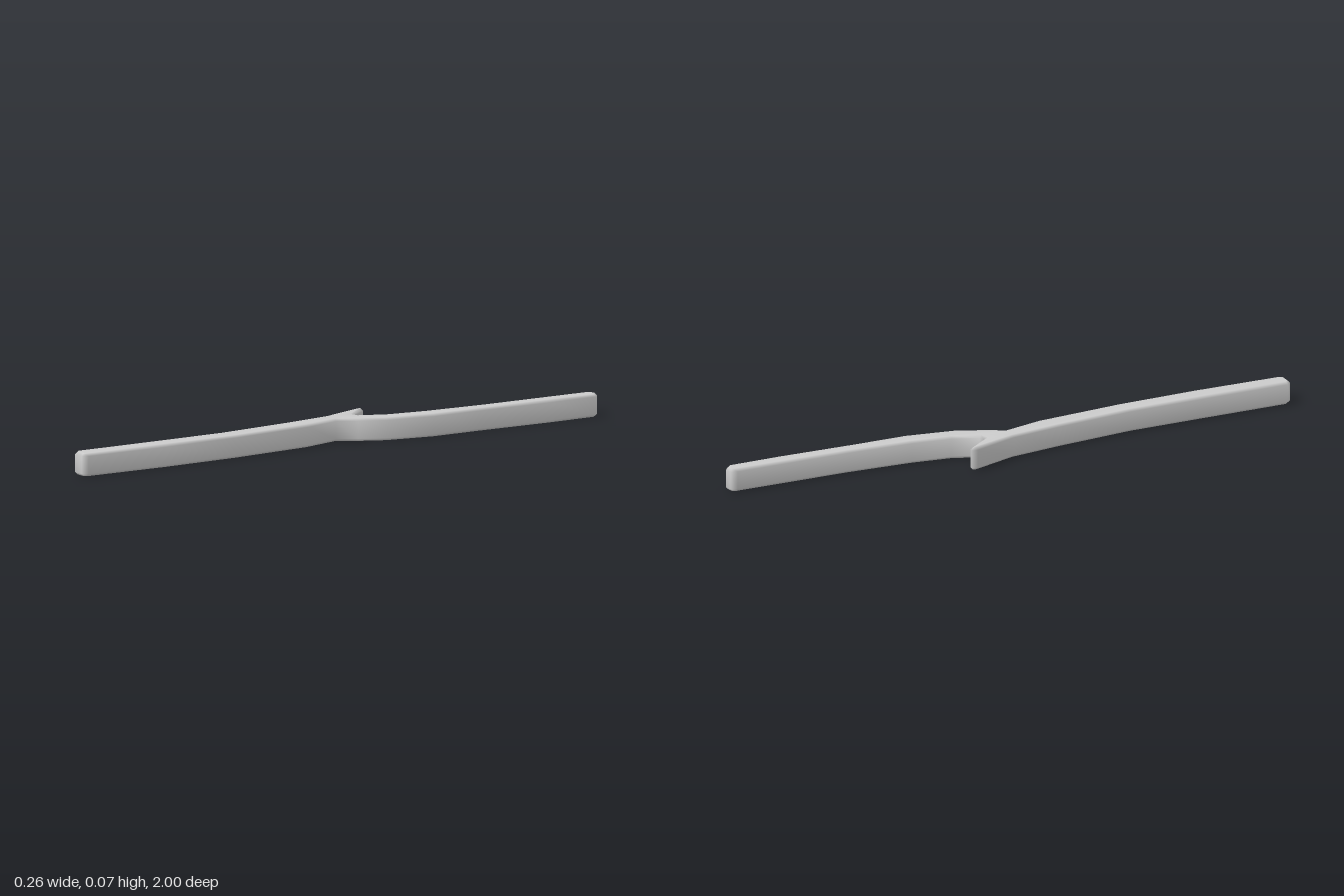
import * as THREE from 'three';
import { mergeVertices } from 'three/addons/utils/BufferGeometryUtils.js';

const HEIGHT = 0.07, BEVEL = 0.009, BEVEL_HEIGHT = 0.008;

// Plan of the forked stick as [x, z]
const outline = [
  // front end
  [-0.03, 0.97], [-0.015, 0.988], [0.03, 1.0], [0.045, 0.985],
  // left side up to the crook
  [0.056, 0.68], [0.053, 0.4], [0.03, 0.09], [-0.005, -0.05],
  // outer side of the long branch
  [0.035, -0.105], [0.08, -0.18], [0.114, -0.34], [0.118, -0.53], [0.13, -0.79],
  // back end
  [0.131, -0.975], [0.108, -0.998], [0.078, -1.0], [0.07, -0.98],
  // inner side of the long branch and the fork
  [0.06, -0.58], [0.043, -0.36], [0.02, -0.23], [-0.02, -0.155], [-0.045, -0.155],
  // short twig tip
  [-0.114, -0.254], [-0.128, -0.26], [-0.132, -0.238],
  // right side back to the front end
  [-0.073, -0.065], [-0.048, 0.125], [-0.023, 0.4], [-0.025, 0.66],
];

export function createModel() {
  const group = new THREE.Group();
  group.name = 'forkedStick';

  const shape = new THREE.Shape(outline.map(([x, z]) => new THREE.Vector2(x, -z)));
  let geometry = new THREE.ExtrudeGeometry(shape, {
    depth: HEIGHT - 2 * BEVEL_HEIGHT,
    bevelEnabled: true,
    bevelSize: BEVEL,
    bevelOffset: -BEVEL,
    bevelThickness: BEVEL_HEIGHT,
    bevelSegments: 1,
  });
  geometry.rotateX(-Math.PI / 2);
  geometry.translate(0, BEVEL_HEIGHT, 0);

  // Weld the corners so the shading rolls softly over the edges
  geometry.deleteAttribute('normal');
  geometry.deleteAttribute('uv');
  geometry = mergeVertices(geometry, 1e-5);
  geometry.computeVertexNormals();

  const stick = new THREE.Mesh(geometry, new THREE.MeshStandardMaterial({ color: 0xcccccc }));
  stick.name = 'stick';
  group.add(stick);
  return group;
}
